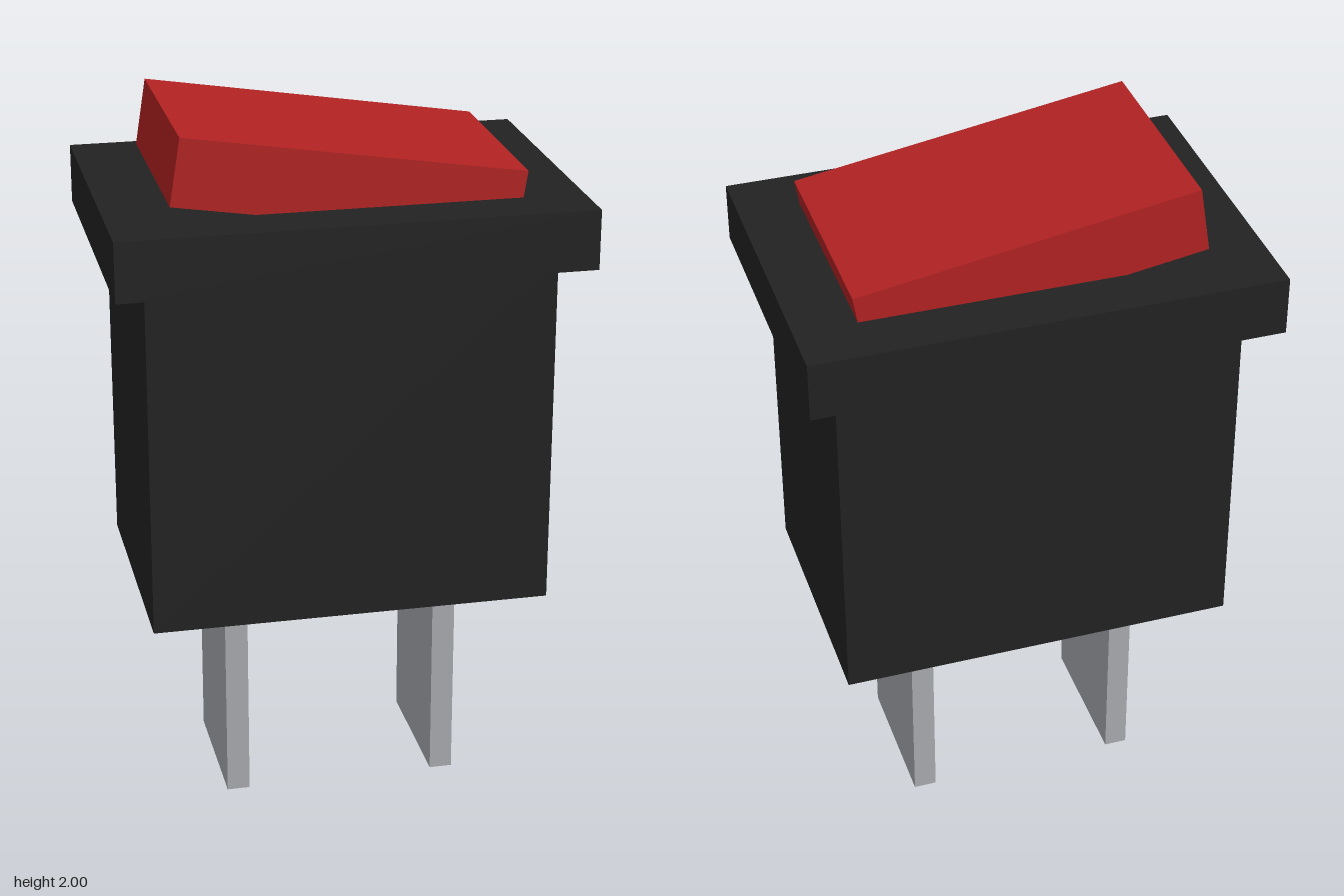
import * as THREE from 'three';

const paint = (name, color) => {
  const material = new THREE.MeshStandardMaterial({ color });
  material.name = name;
  return material;
};

export function createModel() {
  const black = paint('black plastic', 0x222222);
  const red = paint('red plastic', 0xb22222);
  const metal = paint('grey metal', 0xa9abb0);
  const model = new THREE.Group();
  model.name = 'rockerSwitch';

  // Box given by its size and centre
  const box = (name, material, [w, h, d], [x, y, z]) => {
    const mesh = new THREE.Mesh(new THREE.BoxGeometry(w, h, d), material);
    mesh.name = name;
    mesh.position.set(x, y, z);
    model.add(mesh);
    return mesh;
  };

  // Housing and the wider bezel on top of it
  box('housing', black, [1.125, 1.0, 0.735], [0, 1.113, 0]);
  box('bezel', black, [1.3, 0.167, 0.908], [0, 1.695, 0]);

  // Tilted rocker, lower towards +x
  const rocker = box('rocker', red, [0.952, 0.188, 0.608], [0.005, 1.833, 0]);
  rocker.rotation.z = THREE.MathUtils.degToRad(-9);

  // Pair of terminal blades, running slightly into the housing
  for (const [name, side] of [['leftTerminal', 1], ['rightTerminal', -1]]) {
    box(name, metal, [0.065, 0.64, 0.418], [side * 0.304, 0.32, 0]);
  }

  return model;
}
